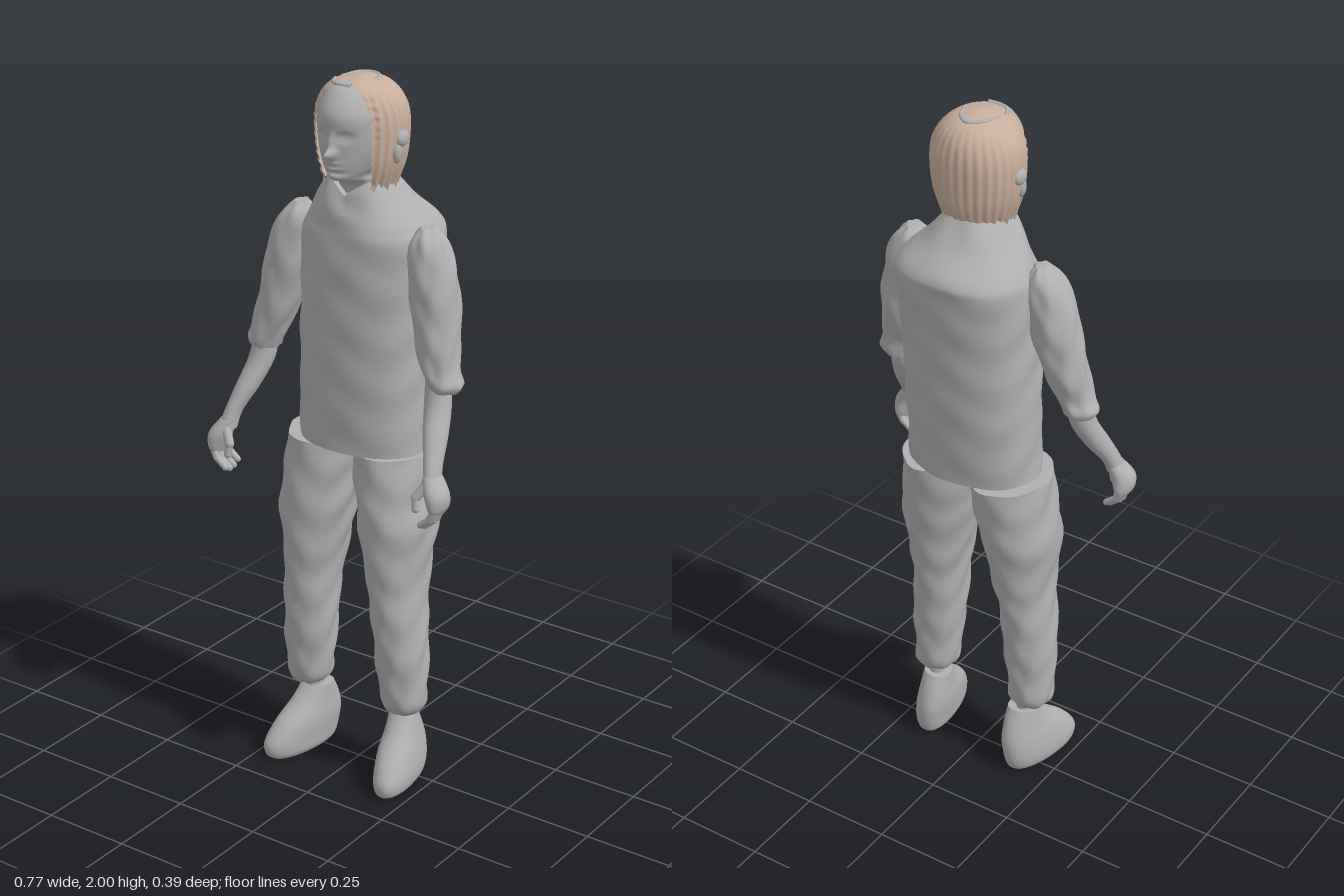
import * as THREE from 'three';

const cloth = new THREE.MeshStandardMaterial({ color: 0xb0b0b0, side: THREE.DoubleSide });
cloth.name = 'plain grey';
const hairTone = new THREE.MeshStandardMaterial({ color: 0xc8ae9c, side: THREE.DoubleSide });
hairTone.name = 'light brown';

function named(name, geometry, material = cloth) {
  const mesh = new THREE.Mesh(geometry, material);
  mesh.name = name;
  return mesh;
}

const spline = (a, b, c, d, t) =>
  b + 0.5 * t * (c - a + t * (2 * a - 5 * b + 4 * c - d + t * (3 * (b - c) + d - a)));

// Rows of [y, xMin, xMax, zMin, zMax, frontGap], bottom to top, joined into a smooth skin.
function loft(rows, { seg = 48, steps = 6, power = 2, warp = null, open = false } = {}) {
  const pos = [], index = [], n = rows.length - 1, rings = n * steps;
  const cols = open ? seg + 1 : seg;
  for (let i = 0; i <= rings; i++) {
    const k = Math.min(Math.floor(i / steps), n - 1), t = i / steps - k;
    const at = (j) => rows[Math.max(0, Math.min(n, j))];
    const [y, x0, x1, z0, z1, gap = 0] = at(k).map((_, c) =>
      spline(at(k - 1)[c], at(k)[c], at(k + 1)[c], at(k + 2)[c], t));
    for (let j = 0; j < cols; j++) {
      const a = Math.PI / 2 + gap + (j / seg) * (Math.PI * 2 - 2 * gap);
      const c = Math.cos(a), s = Math.sin(a);
      const p = new THREE.Vector3(
        (x0 + x1) / 2 + ((x1 - x0) / 2) * Math.sign(c) * Math.abs(c) ** (2 / power), y,
        (z0 + z1) / 2 + ((z1 - z0) / 2) * Math.sign(s) * Math.abs(s) ** (2 / power));
      if (warp) warp(p, a);
      pos.push(p.x, p.y, p.z);
    }
  }
  for (let i = 0; i < rings; i++) {
    for (let j = 0; j < seg; j++) {
      const a = i * cols + j, c = i * cols + ((j + 1) % cols), b = a + cols, d = c + cols;
      index.push(a, b, c, b, d, c);
    }
  }
  // Flat caps with their own corners, so that hems stay sharp
  if (!open) {
    for (const [ring, top] of [[0, false], [rings, true]]) {
      const start = pos.length / 3, mid = [0, 0, 0];
      for (let j = 0; j < seg; j++) {
        for (let c = 0; c < 3; c++) {
          const v = pos[(ring * seg + j) * 3 + c];
          pos.push(v);
          mid[c] += v / seg;
        }
      }
      pos.push(...mid);
      for (let j = 0; j < seg; j++) {
        const a = start + j, b = start + ((j + 1) % seg);
        index.push(start + seg, top ? b : a, top ? a : b);
      }
    }
  }
  const g = new THREE.BufferGeometry();
  g.setAttribute('position', new THREE.Float32BufferAttribute(pos, 3));
  g.setIndex(index);
  g.computeVertexNormals();
  return g;
}

// Soft folds in fabric
const folds = (amount) => (p, a) => {
  const w = amount * (Math.sin(p.y * 47 + 3 * Math.sin(a * 2)) + 0.7 * Math.sin(a * 7 + p.y * 31));
  p.x += w * Math.cos(a);
  p.z += w * Math.sin(a);
};

// Rows are written for the -x side; side = 1 mirrors them
const sided = (rows, side) => rows.map(([y, a, b, ...z]) => (side < 0 ? [y, a, b, ...z] : [y, -b, -a, ...z]));

// Rounded rod between two points
function rod(name, from, to, radius) {
  const a = new THREE.Vector3(...from), b = new THREE.Vector3(...to), d = b.clone().sub(a);
  const mesh = named(name, new THREE.CapsuleGeometry(radius, d.length(), 5, 12));
  mesh.position.copy(a).add(b).multiplyScalar(0.5);
  mesh.quaternion.setFromUnitVectors(new THREE.Vector3(0, 1, 0), d.normalize());
  return mesh;
}

function createHead() {
  const head = new THREE.Group();
  head.name = 'head';
  // Facial relief: [x offset, y, spread x, spread y, depth]
  const relief = [
    [0, 1.822, 0.012, 0.013, 0.034], [0, 1.85, 0.009, 0.022, 0.012],
    [-0.034, 1.866, 0.016, 0.011, -0.012], [0.034, 1.866, 0.016, 0.011, -0.012],
    [-0.034, 1.865, 0.009, 0.005, 0.007], [0.034, 1.865, 0.009, 0.005, 0.007],
    [0, 1.795, 0.019, 0.005, 0.008], [0, 1.782, 0.016, 0.004, 0.007],
    [0, 1.789, 0.024, 0.003, -0.004], [0, 1.77, 0.03, 0.005, -0.006],
  ];
  head.add(named('face', loft([
    [1.66, -0.045, 0.09, -0.06, 0.08], [1.725, -0.04, 0.085, -0.06, 0.09],
    [1.75, -0.02, 0.075, -0.06, 0.15], [1.775, -0.04, 0.09, -0.065, 0.158],
    [1.82, -0.06, 0.108, -0.07, 0.16], [1.87, -0.067, 0.117, -0.075, 0.163],
    [1.92, -0.066, 0.116, -0.07, 0.165], [1.965, -0.045, 0.095, -0.05, 0.138],
    [1.985, -0.02, 0.07, -0.02, 0.105], [1.993, 0.015, 0.035, 0.02, 0.05],
  ], {
    seg: 96, steps: 8,
    warp: (p, a) => {
      if (Math.sin(a) <= 0 || p.y < 1.74) return;
      for (const [x, y, sx, sy, depth] of relief)
        p.z += depth * Math.exp(-(((p.x - 0.028 - x) / sx) ** 2) - ((p.y - y) / sy) ** 2);
    },
  })));

  // Hair shell, open around the face, with strands and a ragged rim
  head.add(named('hair', loft([
    [1.72, -0.075, 0.115, -0.072, 0.112, 0.85], [1.78, -0.095, 0.138, -0.088, 0.125, 0.78],
    [1.85, -0.104, 0.148, -0.094, 0.13, 0.75], [1.91, -0.1, 0.145, -0.092, 0.13, 0.72],
    [1.955, -0.077, 0.124, -0.077, 0.125, 0.62], [1.984, -0.042, 0.09, -0.045, 0.105, 0.4],
    [1.997, 0.005, 0.045, 0.005, 0.05, 0.1], [2.0, 0.024, 0.026, 0.024, 0.026, 0],
  ], {
    seg: 120, open: true,
    warp: (p, a) => {
      const fall = Math.min(1, (2 - p.y) * 12);
      const w = 0.002 * fall * Math.cos(a * 30);
      p.x += w * Math.cos(a);
      p.z += w * Math.sin(a) + (Math.sin(a) > 0.5 ? 0.004 * fall * Math.sin(p.y * 260) : 0);
      if (p.y < 1.76) p.y += 0.012 * Math.sin(a * 23) * Math.sin(a * 9) * (1.76 - p.y) / 0.04;
    },
  }), hairTone));

  // Bare scalp lines on the crown
  const partings = [
    [[-0.03, 1.985, 0.035], [-0.01, 1.989, -0.012], [0.022, 1.988, -0.033], [0.055, 1.989, -0.01], [0.073, 1.988, 0.035]],
    [[-0.035, 1.984, 0.055], [-0.02, 1.984, 0.085], [0.008, 1.985, 0.1], [0.045, 1.985, 0.1]],
  ];
  for (const points of partings) {
    const path = new THREE.CatmullRomCurve3(points.map((p) => new THREE.Vector3(...p)));
    head.add(named('parting', new THREE.TubeGeometry(path, 24, 0.006, 8)));
  }

  for (const side of [-1, 1]) {
    const ear = named('ear', new THREE.SphereGeometry(1, 20, 14));
    ear.scale.set(0.014, 0.022, 0.024);
    ear.position.set(0.022 + side * 0.124, 1.85, 0.02);
    const lobe = named('earLobe', new THREE.SphereGeometry(1, 16, 12));
    lobe.scale.set(0.014, 0.03, 0.014);
    lobe.position.set(0.022 + side * 0.117, 1.815, 0.035);
    head.add(ear, lobe);
  }
  return head;
}

function createArm(side) {
  const arm = new THREE.Group();
  arm.name = side < 0 ? 'rightArm' : 'leftArm';
  const sleeve = sided([
    [1.205, -0.325, -0.24, -0.005, 0.08], [1.225, -0.335, -0.232, -0.012, 0.088],
    [1.26, -0.318, -0.215, -0.015, 0.088], [1.33, -0.305, -0.185, -0.035, 0.086],
    [1.42, -0.29, -0.158, -0.048, 0.084], [1.52, -0.266, -0.142, -0.05, 0.08],
    [1.59, -0.232, -0.14, -0.04, 0.064], [1.625, -0.195, -0.16, -0.012, 0.035],
  ], side);
  // The left shoulder sits slightly further out
  if (side > 0) for (const row of sleeve) {
    const shift = 0.012 + 0.03 * (row[0] - 1.2) / 0.42;
    row[1] += shift;
    row[2] += shift;
  }
  arm.add(named('sleeve', loft(sleeve, { warp: folds(0.0022) })));
  arm.add(named('forearm', loft(sided([
    [0.985, -0.358, -0.308, 0.12, 0.178], [1.03, -0.348, -0.302, 0.1, 0.162],
    [1.1, -0.336, -0.272, 0.05, 0.128], [1.17, -0.322, -0.25, 0.015, 0.09],
    [1.24, -0.31, -0.245, 0.005, 0.075],
  ], side), { seg: 32 })));
  arm.add(named('palm', loft(sided([
    [0.915, -0.372, -0.342, 0.118, 0.188], [0.935, -0.382, -0.334, 0.112, 0.196],
    [0.97, -0.382, -0.32, 0.115, 0.194], [1.01, -0.354, -0.306, 0.113, 0.172],
  ], side), { seg: 32 })));
  for (let i = 0; i < 4; i++) {
    const z = 0.126 + i * 0.018, drop = [0.014, 0.003, 0, 0.008][i];
    arm.add(rod('finger', [side * 0.36, 0.925, z], [side * 0.348, 0.892 + drop, z], 0.0105));
    arm.add(rod('fingertip', [side * 0.348, 0.892 + drop, z], [side * 0.32, 0.87 + drop, z], 0.0095));
  }
  arm.add(rod('thumb', [side * 0.325, 0.985, 0.165], [side * 0.304, 0.952, 0.18], 0.013));
  arm.add(rod('thumbTip', [side * 0.304, 0.952, 0.18], [side * 0.307, 0.922, 0.184], 0.011));
  return arm;
}

function createLeg(side) {
  const leg = new THREE.Group();
  leg.name = side < 0 ? 'rightLeg' : 'leftLeg';
  leg.add(named('trouserLeg', loft(sided([
    [0.205, -0.2, -0.125, -0.03, 0.05], [0.23, -0.22, -0.1, -0.048, 0.072],
    [0.28, -0.224, -0.092, -0.055, 0.082], [0.4, -0.226, -0.08, -0.063, 0.098],
    [0.55, -0.217, -0.07, -0.082, 0.112], [0.65, -0.217, -0.055, -0.1, 0.122],
    [0.78, -0.234, -0.028, -0.122, 0.128], [0.88, -0.222, -0.012, -0.138, 0.122],
    [0.985, -0.215, 0.002, -0.15, 0.113],
  ], side), { warp: folds(0.0025) })));
  leg.add(named('ankle', loft(sided([
    [0.16, -0.175, -0.125, -0.03, 0.035], [0.24, -0.175, -0.125, -0.03, 0.035],
  ], side), { seg: 24, steps: 2 })));
  // Shoe, toe turned slightly out
  leg.add(named('shoe', loft(sided([
    [0, -0.205, -0.125, -0.062, 0.155], [0.015, -0.218, -0.115, -0.076, 0.172],
    [0.05, -0.222, -0.11, -0.086, 0.173], [0.1, -0.215, -0.105, -0.086, 0.135],
    [0.15, -0.202, -0.108, -0.07, 0.075], [0.195, -0.193, -0.11, -0.045, 0.035],
  ], side), { power: 2.2, warp: (p) => { p.x += side * 0.16 * (p.z - 0.02); } })));
  return leg;
}

export function createModel() {
  const model = new THREE.Group();
  model.name = 'standingFigure';
  const crease = folds(0.0018);
  model.add(named('shirt', loft([
    [0.985, -0.178, 0.198, -0.15, 0.12], [1.2, -0.175, 0.2, -0.165, 0.125],
    [1.42, -0.172, 0.205, -0.178, 0.126], [1.56, -0.172, 0.213, -0.193, 0.122],
    [1.61, -0.155, 0.195, -0.19, 0.116], [1.67, -0.112, 0.135, -0.13, 0.106],
    [1.735, -0.065, 0.088, -0.078, 0.092],
  ], {
    seg: 80, steps: 10, power: 2.25,
    warp: (p, a) => {
      crease(p, a);
      // Neckline dips to a point in front
      const rise = Math.max(0, (p.y - 1.64) / 0.095);
      if (Math.sin(a) > 0) p.y -= 0.045 * rise * Math.max(0, 1 - Math.abs(p.x - 0.02) / 0.06);
    },
  })));
  model.add(createHead());
  for (const side of [-1, 1]) model.add(createArm(side), createLeg(side));
  return model;
}
